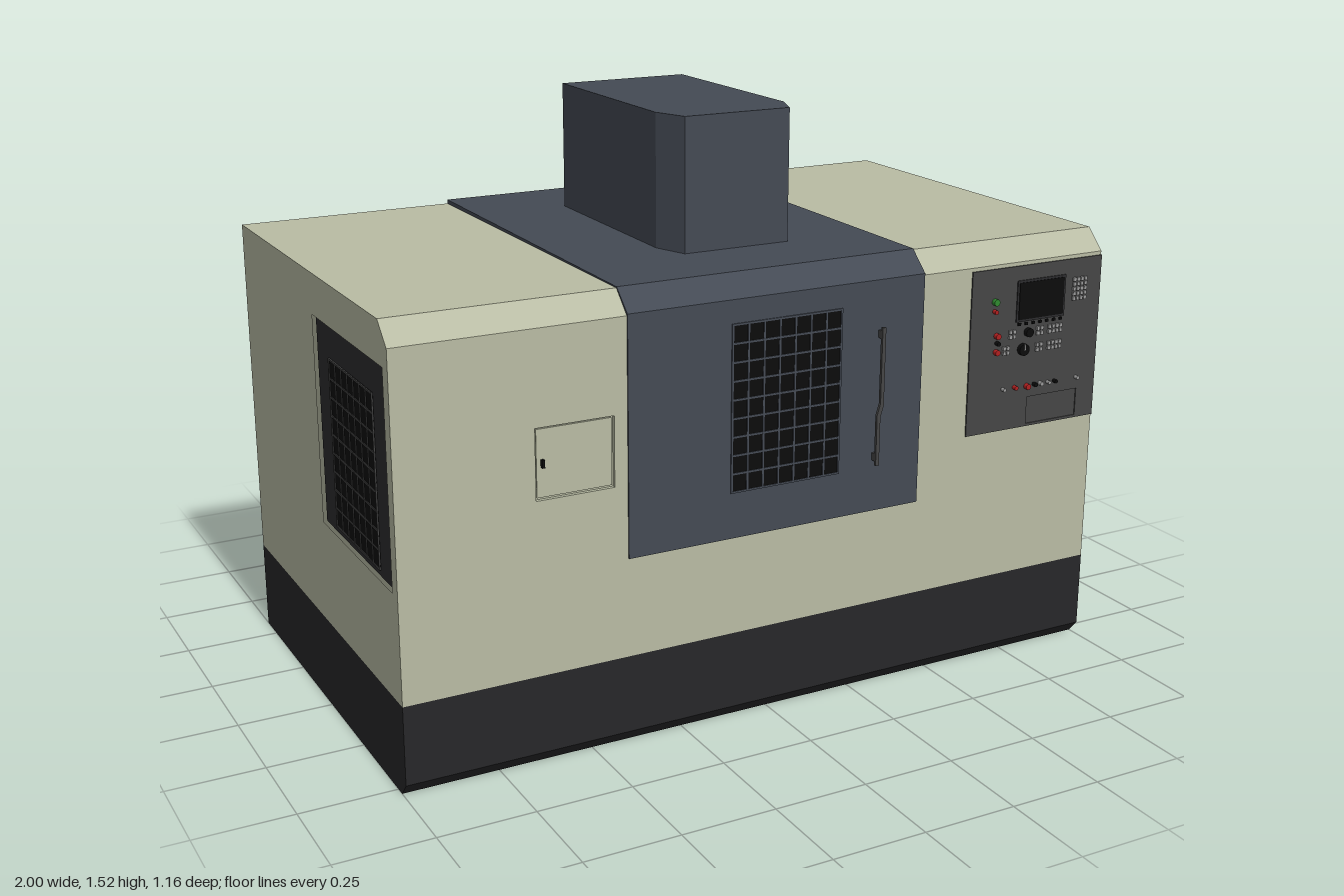
import * as THREE from 'three';

const mat = (color) => new THREE.MeshStandardMaterial({ color, flatShading: true });
const M = {
  beige: mat(0xb9bca4), base: mat(0x272729), slate: mat(0x444a54), panel: mat(0x464646),
  black: mat(0x0c0c0c), grey: mat(0x9a9a9a), dark: mat(0x2c2c2e), red: mat(0xb02020), green: mat(0x2f8a2f),
};

const rect = (a0, a1, b0, b1) => [[a0, b0], [a1, b0], [a1, b1], [a0, b1]];

function extrude(points, depth, hole) {
  const shape = new THREE.Shape(points.map((p) => new THREE.Vector2(...p)));
  if (hole) shape.holes.push(new THREE.Path(hole.map((p) => new THREE.Vector2(...p))));
  return new THREE.ExtrudeGeometry(shape, { depth, bevelEnabled: false });
}

// Profile of [z, y] points swept from x0 to x1
function alongX(points, x0, x1, hole) {
  const flip = (list) => list && list.map(([z, y]) => [-z, y]);
  return extrude(flip(points), x1 - x0, flip(hole)).rotateY(Math.PI / 2).translate(x0, 0, 0);
}

// Plan of [x, z] points raised from y0 to y1
function alongY(points, y0, y1) {
  return extrude(points.map(([x, z]) => [x, -z]), y1 - y0).rotateX(-Math.PI / 2).translate(0, y0, 0);
}

function add(parent, name, geometry, material) {
  const mesh = new THREE.Mesh(geometry, material);
  mesh.name = name;
  parent.add(mesh);
  return mesh;
}

function box(parent, name, x0, x1, y0, y1, z0, z1, material) {
  const g = new THREE.BoxGeometry(x1 - x0, y1 - y0, z1 - z0);
  g.translate((x0 + x1) / 2, (y0 + y1) / 2, (z0 + z1) / 2);
  return add(parent, name, g, material);
}

// Black window with a raised lattice, centred and facing +z
function grille(name, w, h, barMaterial) {
  const g = new THREE.Group();
  g.name = name;
  box(g, 'windowPane', -w / 2, w / 2, -h / 2, h / 2, 0, 0.002, M.black);
  const t = 0.0025, cols = 7, rows = 9;
  for (let i = 0; i <= cols; i++) {
    const x = -w / 2 + t + (i * (w - 2 * t)) / cols;
    box(g, 'verticalBar', x - t, x + t, -h / 2, h / 2, 0, 0.004, barMaterial);
  }
  for (let j = 0; j <= rows; j++) {
    const y = -h / 2 + t + (j * (h - 2 * t)) / rows;
    box(g, 'horizontalBar', -w / 2, w / 2, y - t, y + t, 0, 0.004, barMaterial);
  }
  return g;
}

function buildBody(root) {
  const body = new THREE.Group();
  body.name = 'body';
  root.add(body);
  // Plinth with a chamfered toe
  add(body, 'base', alongX([[-0.58, 0], [0.525, 0], [0.555, 0.035], [0.555, 0.24], [-0.58, 0.24]], -1, 1), M.base);
  // Core, set back where the front and side skins lie over it
  const top = [[0.555, 1.11], [0.5, 1.165], [-0.58, 1.165], [-0.58, 0.24]];
  add(body, 'enclosure', alongX([[0.545, 0.24], [0.545, 1.1], [0.555, 1.1], ...top], -0.988, 0.988), M.beige);
  const hatch = rect(-0.65, -0.445, 0.69, 0.87);
  add(body, 'frontSkin', extrude(rect(-0.988, 0.988, 0.24, 1.1), 0.01, hatch).translate(0, 0, 0.545), M.beige);
  box(body, 'hatchDoor', -0.645, -0.45, 0.695, 0.865, 0.545, 0.549, M.beige);
  box(body, 'hatchLatch', -0.634, -0.627, 0.77, 0.79, 0.549, 0.559, M.black);

  // Side skins with a recessed window panel
  for (const s of [1, -1]) {
    const x0 = s > 0 ? 0.988 : -1;
    const opening = rect(0.015, 0.52, 0.515, 1.058);
    add(body, 'sideSkin', alongX([[0.555, 0.24], ...top], x0, x0 + 0.012, opening), M.beige);
    const inner = s > 0 ? [0.988, 0.992] : [-0.992, -0.988];
    box(body, 'sidePanel', ...inner, 0.519, 1.054, 0.019, 0.516, s > 0 ? M.beige : M.dark);
    const window = grille('sideWindow', 0.315, 0.437, M.panel);
    window.position.set(s * 0.992, 0.753, 0.266);
    window.rotation.y = (s * Math.PI) / 2;
    body.add(window);
  }
}

function buildDoor(root) {
  const door = new THREE.Group();
  door.name = 'door';
  root.add(door);
  // Door sheet folding over the chamfer and running back along the roof
  add(door, 'doorCover', alongX([
    [0.55, 0.5], [0.559, 0.5], [0.559, 1.115], [0.502, 1.168], [-0.58, 1.176], [-0.58, 1.16], [0.498, 1.16], [0.55, 1.108],
  ], -0.41, 0.43), M.slate);
  const window = grille('doorWindow', 0.315, 0.435, M.slate);
  window.position.set(0.0275, 0.8375, 0.558);
  door.add(window);

  // Cranked pull handle on two short posts
  const grip = [[0.293, 0.995], [0.303, 0.995], [0.303, 0.79], [0.294, 0.76], [0.294, 0.63], [0.284, 0.63], [0.284, 0.765], [0.293, 0.795]];
  add(door, 'handle', extrude(grip, 0.008).translate(0, 0, 0.572), M.panel);
  box(door, 'handlePost', 0.294, 0.302, 0.965, 0.985, 0.558, 0.573, M.panel);
  box(door, 'handlePost', 0.285, 0.293, 0.64, 0.66, 0.558, 0.573, M.panel);
}

function buildTower(root) {
  const tower = new THREE.Group();
  tower.name = 'headTower';
  root.add(tower);
  add(tower, 'towerCore', alongY([
    [-0.15, -0.355], [0.2, -0.355], [0.2, 0.2], [0.22, 0.2], [0.185, 0.29], [-0.115, 0.29], [-0.15, 0.2],
  ], 1.165, 1.516), M.slate);
  // Side plate with a sunken pocket
  const pocket = rect(-0.052, 0.178, 1.35, 1.468);
  add(tower, 'towerSide', alongX(rect(-0.355, 0.2, 1.165, 1.516), 0.2, 0.22, pocket), M.slate);
}

function buildControls(root) {
  const controls = new THREE.Group();
  controls.name = 'controlPanel';
  root.add(controls);
  const z = 0.559;
  const tray = rect(0.775, 0.94, 0.662, 0.737);
  add(controls, 'panelPlate', extrude(rect(0.58, 1, 0.655, 1.1), 0.006, tray).translate(0, 0, z - 0.006), M.panel);
  box(controls, 'tray', 0.775, 0.94, 0.662, 0.737, 0.552, 0.556, M.panel);
  box(controls, 'screenFrame', 0.724, 0.881, 0.949, 1.061, z, z + 0.003, M.dark);
  box(controls, 'screen', 0.73, 0.875, 0.955, 1.055, z, z + 0.005, M.black);
  for (let i = 0; i < 7; i++) {
    const x = 0.735 + i * 0.0225;
    box(controls, 'softKey', x - 0.004, x + 0.004, 0.939, 0.946, z, z + 0.005, M.black);
  }

  // Blocks of keys: centre x, centre y, columns, rows
  const pads = [[0.928, 1.018, 4, 5], [0.713, 0.918, 2, 2], [0.803, 0.918, 2, 2], [0.853, 0.918, 4, 2],
    [0.695, 0.876, 2, 2], [0.803, 0.873, 2, 2], [0.853, 0.873, 4, 2]];
  for (const [cx, cy, cols, rows] of pads) {
    for (let i = 0; i < cols; i++) {
      for (let j = 0; j < rows; j++) {
        const x = cx + (i - (cols - 1) / 2) * 0.012, y = cy + (j - (rows - 1) / 2) * 0.013;
        box(controls, 'key', x - 0.0045, x + 0.0045, y - 0.005, y + 0.005, z, z + 0.006, M.grey);
      }
    }
  }

  // Round buttons and knobs: x, y, radius, material
  const buttons = [[0.653, 1.013, 0.009, M.green], [0.653, 0.987, 0.006, M.red], [0.663, 0.92, 0.008, M.red],
    [0.665, 0.9, 0.006, M.black], [0.663, 0.876, 0.008, M.red], [0.765, 0.918, 0.012, M.black], [0.75, 0.873, 0.016, M.black],
    [0.692, 0.77, 0.005, M.grey], [0.73, 0.77, 0.006, M.red], [0.77, 0.768, 0.008, M.red], [0.795, 0.77, 0.006, M.black],
    [0.815, 0.77, 0.006, M.grey], [0.84, 0.77, 0.005, M.grey], [0.862, 0.77, 0.005, M.black], [0.935, 0.77, 0.005, M.grey]];
  for (const [x, y, r, material] of buttons) {
    const g = new THREE.CylinderGeometry(r, r, 0.012, 16).rotateX(Math.PI / 2).translate(x, y, z + 0.006);
    add(controls, 'button', g, material);
  }
  box(controls, 'knobPointer', 0.748, 0.752, 0.873, 0.888, z + 0.011, z + 0.014, M.grey);
}

export function createModel() {
  const root = new THREE.Group();
  root.name = 'machiningCentre';
  buildBody(root);
  buildDoor(root);
  buildTower(root);
  buildControls(root);
  return root;
}
